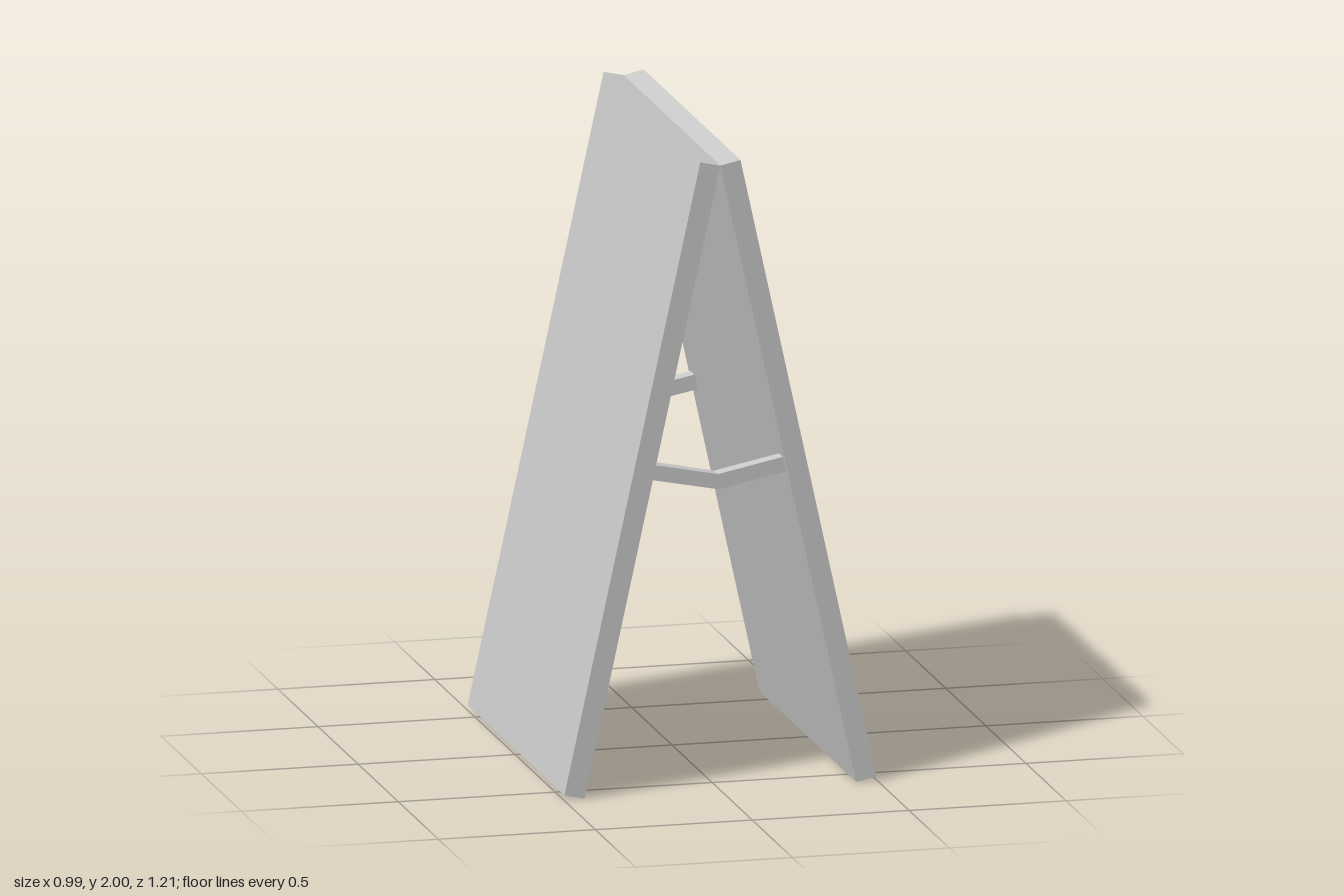
import * as THREE from 'three';

const material = new THREE.MeshStandardMaterial({ color: 0xcccccc, flatShading: true });

// Extrudes a front outline along z, from zBack for the given depth
function slab(name, points, zBack, depth) {
  const shape = new THREE.Shape(points.map(([x, y]) => new THREE.Vector2(x, y)));
  const geometry = new THREE.ExtrudeGeometry(shape, { depth, bevelEnabled: false });
  geometry.translate(0, 0, zBack);
  const mesh = new THREE.Mesh(geometry, material);
  mesh.name = name;
  return mesh;
}

export function createModel() {
  const group = new THREE.Group();
  group.name = 'aFrameBoard';

  const depth = 1.206;
  const braceDepth = 0.048;
  const braceInset = 0.03;

  // Two leaning boards that meet along the top inner edge
  const board = [[0, 1.986], [0.433, 0], [0.497, 0.014], [0.064, 2]];
  for (const [name, side] of [['leftBoard', 1], ['rightBoard', -1]]) {
    group.add(slab(name, board.map(([x, y]) => [x * side, y]), -depth / 2, depth));
  }

  // Bent folding braces, one near each open end
  const brace = [
    [0, 0.95], [0.217, 0.993], [0.206, 1.04],
    [0, 0.998], [-0.206, 1.04], [-0.217, 0.993],
  ];
  const zOuter = depth / 2 - braceInset;
  group.add(slab('frontBrace', brace, zOuter - braceDepth, braceDepth));
  group.add(slab('backBrace', brace, -zOuter, braceDepth));

  return group;
}
